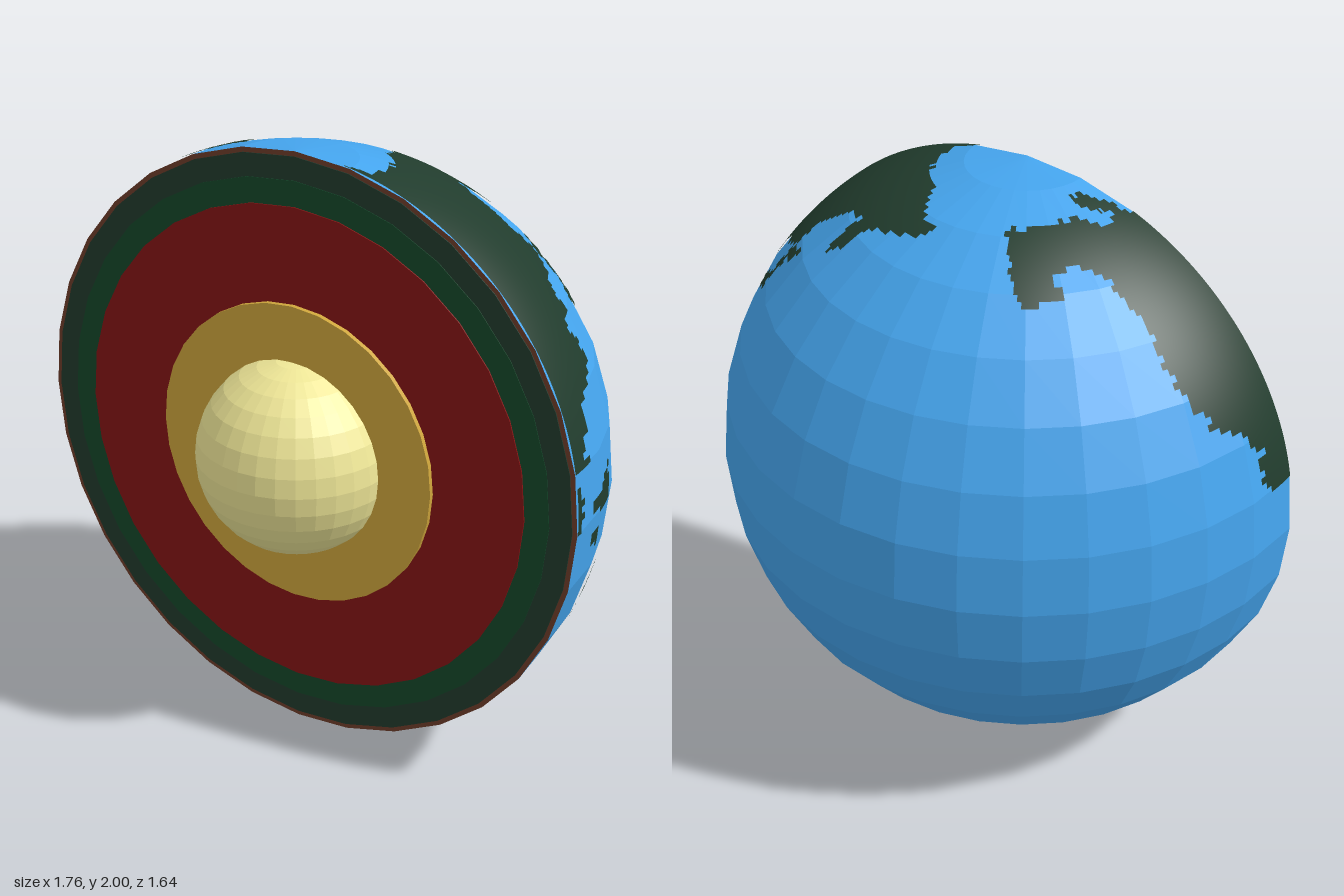
import * as THREE from 'three';

const DEG = Math.PI / 180;
const CUT = 40; // turn of the cut face about y, in degrees

// Coastlines as [azimuth, latitude] in degrees
const coasts = {
  northernContinent: [[-41, 80], [-32, 75], [-4, 73], [18, 72], [39, 66], [43, 65], [37, 62.5], [27, 61], [17, 59],
    [16, 53], [11, 50], [9, 58], [1, 57], [-6, 50], [-6, 43], [-10, 41], [-19, 39], [-18, 34], [-23, 33],
    [-21, 26], [-27, 23], [-33, 21], [-32, 18], [-36, 14], [-32, 11.5], [-41, 11.5]],
  northernIslands: [[-6, 44.5], [0, 44.5], [0, 41.5], [-3, 41], [-4, 37], [-5, 32], [-10, 31.5], [-10, 34], [-6, 36], [-6, 41]],
  westernContinent: [[141, 11], [133, 11], [131, 18], [134, 19], [128, 24], [122, 28], [117.5, 35.7], [115.6, 42.6],
    [114.6, 49.3], [110, 57], [101, 61.3], [92.5, 60], [95.5, 55.4], [81.5, 53.8], [78, 62.5], [74, 69],
    [111, 71], [122, 67], [130, 69], [115, 74], [115, 76], [124, 75.5], [134, 71], [141, 67]],
  southernContinent: [[-28.5, -17], [-23.6, -12], [-13, -11.5], [-12, -8.4], [-8, -8], [-6.8, -12], [-4.4, -13.4],
    [0.3, -11.5], [4.4, -15.5], [5.9, -21], [6.3, -28.7], [2, -30.5], [-4.2, -30.5], [-5.4, -26], [-11.4, -24],
    [-18.6, -26], [-25, -30], [-28, -27.6], [-29, -23]],
  tropicalIsland: [[-8, -1], [-2, -1], [-1, -3], [2, -3], [2, -6.5], [-1, -7], [-2, -13], [-4, -13], [-4, -6], [-5, -4], [-8, -3]],
  middleIsland: [[-33, 1], [-33, 4], [-28, 4], [-28, 7], [-24, 7], [-24, 0]],
  smallIsland: [[-34, -3], [-34, -5.5], [-30, -5.5], [-30, -3]],
  isletEast: [[-13, 0], [-13, 1.6], [-11, 1.6], [-11, 0]],
  isletWest: [[-41, 0], [-41, 9], [-38.5, 9], [-38.5, 0]],
  polarContinent: [[-41, -60], [0, -60], [12, -62], [25, -70], [33, -78], [50, -84], [65, -77], [75, -72], [95, -70],
    [115, -66], [141, -66], [141, -90], [-41, -90]],
};

function mesh(name, geometry, color, flatShading = false) {
  const m = new THREE.Mesh(geometry, new THREE.MeshStandardMaterial({ color, flatShading }));
  m.name = name;
  return m;
}

function inside(poly, x, y) {
  let hit = false;
  for (let i = 0, j = poly.length - 1; i < poly.length; j = i++) {
    const [xi, yi] = poly[i], [xj, yj] = poly[j];
    if ((yi > y) !== (yj > y) && x < ((xj - xi) * (y - yi)) / (yj - yi) + xi) hit = !hit;
  }
  return hit;
}

// Stepped patch of small cells lying on the globe wherever they fall inside a coastline
function landPatch(poly) {
  const step = 1.25, position = [];
  const point = (az, lat) => {
    const c = Math.cos(lat * DEG);
    return [c * Math.cos(az * DEG), Math.sin(lat * DEG), -c * Math.sin(az * DEG)];
  };
  for (let lat = -90; lat < 90; lat += step) {
    for (let az = 0; az < 180; az += step) {
      const wobble = 0.7 * Math.sin(lat * 1.9 + az * 0.7);
      if (!inside(poly, az + step / 2 - CUT + wobble, lat + step / 2 + wobble * 0.5)) continue;
      const a = point(az, lat), b = point(az + step, lat);
      const c = point(az + step, lat + step), d = point(az, lat + step);
      position.push(...a, ...b, ...c, ...a, ...c, ...d);
    }
  }
  const g = new THREE.BufferGeometry();
  g.setAttribute('position', new THREE.Float32BufferAttribute(position, 3));
  g.setAttribute('normal', new THREE.Float32BufferAttribute(position, 3)); // unit sphere
  return g;
}

export function createModel() {
  const model = new THREE.Group();
  model.name = 'cutawayGlobe';
  const globe = new THREE.Group();
  globe.name = 'globe';
  globe.position.set(-0.115, 1, 0.17);
  globe.rotation.y = -CUT * DEG;
  model.add(globe);

  // Ocean half shell
  globe.add(mesh('ocean', new THREE.SphereGeometry(0.998, 16, 16, Math.PI, Math.PI), 0x45a5ee, true));

  // Land
  const land = new THREE.Group();
  land.name = 'land';
  for (const [name, poly] of Object.entries(coasts)) land.add(mesh(name, landPatch(poly), 0x213c2d));
  globe.add(land);

  // Layers on the cut face, each standing a little proud of the one outside it
  globe.add(mesh('crust', new THREE.CircleGeometry(0.998, 32, Math.PI / 2), 0x6e3c2a));
  const layers = [
    ['upperMantle', 0.982, 0.003, 0x213a2d],
    ['middleMantle', 0.907, 0.005, 0x14482a],
    ['lowerMantle', 0.825, 0.009, 0x861414],
    ['outerCore', 0.51, 0.025, 0xcfa63c],
  ];
  for (const [name, radius, depth, color] of layers) {
    const disc = new THREE.CylinderGeometry(radius, radius, depth, 32);
    disc.rotateX(Math.PI / 2).translate(0, 0, depth / 2);
    globe.add(mesh(name, disc, color));
  }

  // Inner core ball
  globe.add(mesh('innerCore', new THREE.SphereGeometry(0.325, 32, 16), 0xf0e898, true));
  return model;
}
